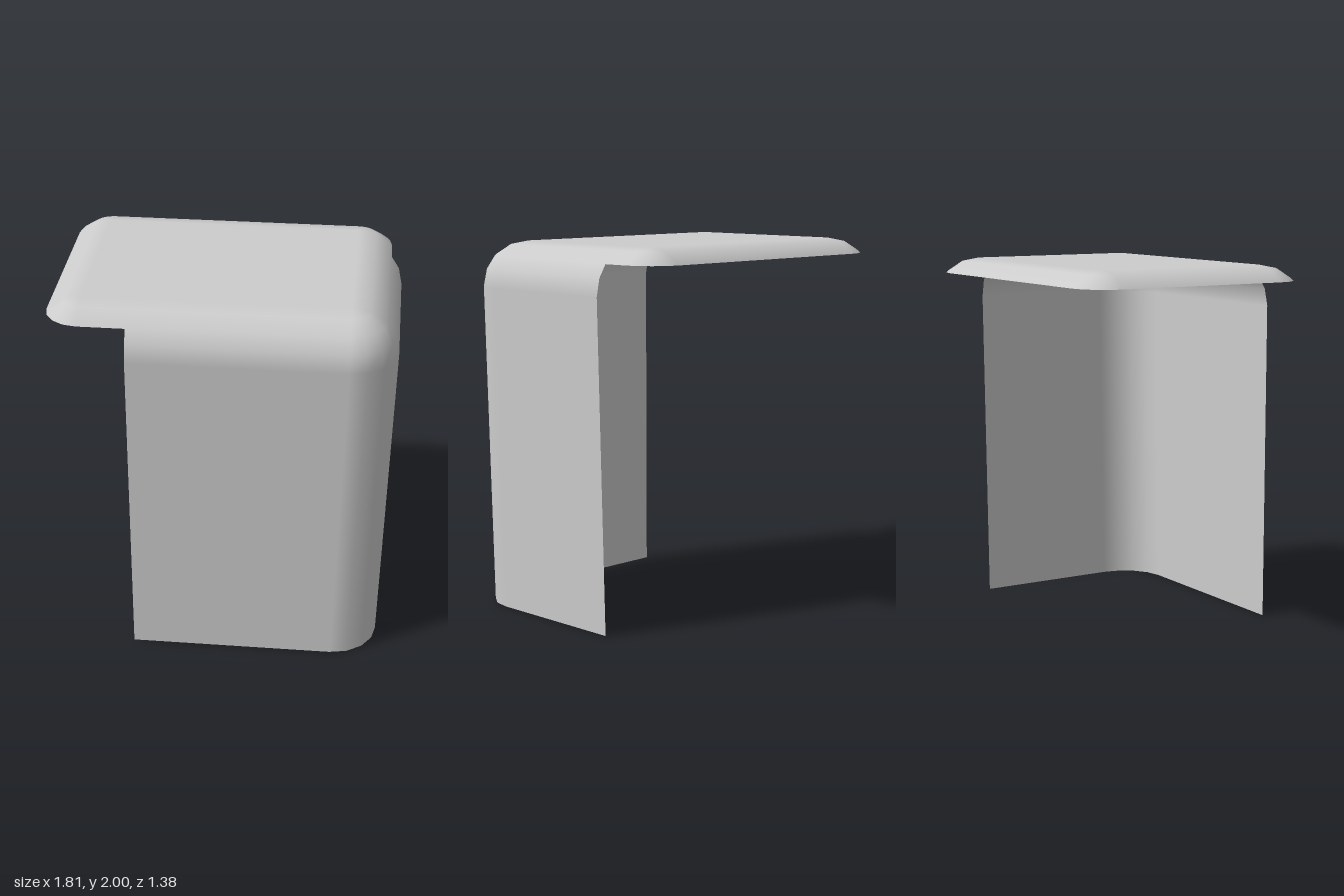
import * as THREE from 'three';

const R = 0.245, ARC_Y = 1.755, RIM_Y = 1.917; // edge radius, height of arc centre, lid rim
const CX = -0.03, CZ = -0.03, HX = 0.69, HZ = 0.475; // centre and half size of the flat top
const LEAN = 0.045; // the side wall leans inward towards the floor
const RIM = Math.asin((RIM_Y - ARC_Y) / R);
const STEP = Math.PI / 8;

// Quarter-round corner: arc centre plus angle, turning from +x towards +z
function corner(quadrant) {
  const sx = [1, -1, -1, 1][quadrant], sz = [1, 1, -1, -1][quadrant];
  return Array.from({ length: 5 }, (_, i) => ({
    x: CX + sx * HX, z: CZ + sz * HZ, a: quadrant * Math.PI / 2 + i * STEP,
  }));
}

// Surface swept along a path; each row has an elevation angle and a height
function sweep(path, rows, fillTop) {
  const pos = [], nor = [], idx = [], n = path.length;
  rows.forEach(({ e, y, lean = 0 }) => path.forEach(({ x, z, a }) => {
    const c = Math.cos(e);
    pos.push(x + R * c * Math.cos(a) - (x > 0 ? lean : 0), y, z + R * c * Math.sin(a));
    nor.push(c * Math.cos(a), Math.sin(e), c * Math.sin(a));
  }));
  for (let i = 0; i < rows.length - 1; i++) {
    for (let j = 0; j < n - 1; j++) {
      const a = i * n + j, b = a + 1, c = b + n, d = a + n;
      idx.push(a, b, c, a, c, d);
    }
  }
  if (fillTop) for (let j = 1; j < n - 2; j++) idx.push(0, j + 1, j);
  const g = new THREE.BufferGeometry();
  g.setAttribute('position', new THREE.Float32BufferAttribute(pos, 3));
  g.setAttribute('normal', new THREE.Float32BufferAttribute(nor, 3));
  g.setIndex(idx);
  return g;
}

const arcRow = (e) => ({ e, y: ARC_Y + R * Math.sin(e) });

export function createModel() {
  const grey = new THREE.MeshStandardMaterial({ color: 0xcccccc, side: THREE.DoubleSide });
  grey.name = 'plain grey';
  const group = new THREE.Group();
  group.name = 'openCover';
  const add = (name, geometry) => {
    const mesh = new THREE.Mesh(geometry, grey);
    mesh.name = name;
    group.add(mesh);
  };

  // Lid: flat top with a rounded edge all the way round
  const loop = [0, 1, 2, 3].flatMap(corner);
  loop.push(loop[0]);
  add('lid', sweep(loop, [4 * STEP, 3 * STEP, 2 * STEP, RIM].map(arcRow), true));

  // Walls: side wall, rounded corner and front wall hanging from the rim
  const front = corner(0);
  const wallPath = [
    { x: CX + HX, z: -0.36, a: 0 },
    ...front,
    { x: -0.47, z: CZ + HZ, a: Math.PI / 2 },
  ];
  add('walls', sweep(wallPath, [...[RIM, STEP, 0].map(arcRow), { e: 0, y: 0, lean: LEAN }], false));

  return group;
}
